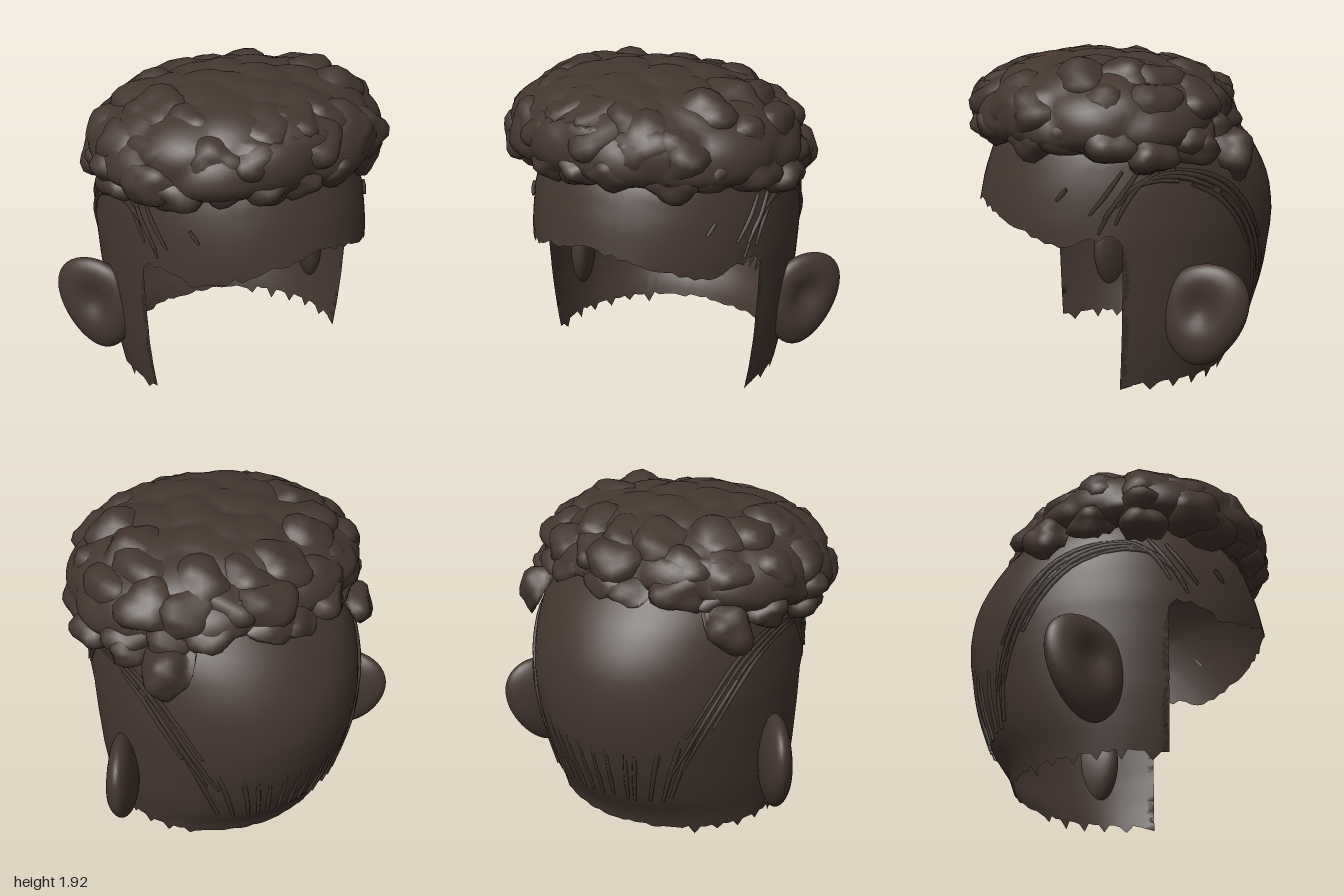
import * as THREE from 'three';
import { mergeVertices, mergeGeometries } from 'three/addons/utils/BufferGeometryUtils.js';

const material = new THREE.MeshStandardMaterial({ color: 0x44362f, side: THREE.DoubleSide });

let seed = 7;
const rand = () => {
  seed = (seed * 16807) % 2147483647;
  return seed / 2147483647;
};
const vary = (r) => (rand() * 2 - 1) * r;

// Piecewise linear lookup in [key, value] pairs
function lookup(table, k) {
  if (k <= table[0][0]) return table[0][1];
  for (let i = 1; i < table.length; i++) {
    const [k0, v0] = table[i - 1], [k1, v1] = table[i];
    if (k <= k1) return v0 + (v1 - v0) * (k - k0) / (k1 - k0);
  }
  return table[table.length - 1][1];
}

// Head cross-section at each height: half width, back depth, front depth
const WIDTH = [[0, .7], [.2, .735], [.4, .76], [.7, .78], [.95, .79], [1.2, .775], [1.4, .735], [1.6, .62], [1.72, .46], [1.8, .2], [1.82, 0]];
const BACK = [[0, .62], [.15, .67], [.3, .77], [.5, .85], [.7, .905], [.85, .93], [.97, .937], [1.1, .92], [1.2, .89], [1.3, .84], [1.4, .775], [1.6, .6], [1.72, .42], [1.8, .18], [1.82, 0]];
const FRONT = [[0, .85], [1, .88], [1.2, .84], [1.4, .77], [1.6, .62], [1.72, .46], [1.8, .2], [1.82, 0]];

// Forehead rim by angle from the front in degrees, and depth of the torn cheek edge by height
const BROW = [[0, 1.07], [20, 1.0], [42, .91], [52, .88], [64, .93], [72, .95], [180, .95]];
const CHEEK = [[0, .2], [.06, .14], [.1, .19], [.14, .15], [.2, .2], [.26, .16], [.42, .15], [.51, .23], [.6, .12], [.66, .16], [.8, .2], [.95, .24]];

const depth = (z, y) => lookup(z > 0 ? FRONT : BACK, y);
const sidePoint = (s, z, y, off) => new THREE.Vector3(
  s * (lookup(WIDTH, y) * Math.sqrt(Math.max(0, 1 - (z / depth(z, y)) ** 2)) + off), y, z);
const backPoint = (x, y, off) => new THREE.Vector3(
  x, y, -lookup(BACK, y) * Math.sqrt(Math.max(0, 1 - (x / lookup(WIDTH, y)) ** 2)) - off);

// Quad grid from a rule giving the point at column i, row j
function grid(cols, rows, rule) {
  const pos = [], idx = [];
  for (let i = 0; i <= cols; i++) for (let j = 0; j <= rows; j++) pos.push(...rule(i, j / rows));
  for (let i = 0; i < cols; i++) for (let j = 0; j < rows; j++) {
    const a = i * (rows + 1) + j, b = a + rows + 1;
    idx.push(a, b, b + 1, a, b + 1, a + 1);
  }
  const g = new THREE.BufferGeometry();
  g.setAttribute('position', new THREE.Float32BufferAttribute(pos, 3));
  g.setIndex(idx);
  return g;
}

// Open shell: a full cap above brow height and a band around the sides and back
function headShell() {
  const ring = (deg, y) => {
    const phi = deg * Math.PI / 180, c = Math.cos(phi);
    return [Math.sin(phi) * lookup(WIDTH, y), y, c * depth(c, y)];
  };
  const jag = Array.from({ length: 121 }, () => vary(.02));
  const cap = grid(120, 16, (i, t) => {
    const turn = Math.abs(i * 3 - 180);
    const y0 = lookup(BROW, turn) + (turn < 72 ? jag[i] : 0);
    return ring(i * 3 - 180, y0 + (1.82 - y0) * (1 - (1 - t) ** 1.5));
  });
  const band = grid(72, 18, (i, t) => {
    const deg = 72 + i * 3, side = Math.min(i, 72 - i);
    // occasional long teeth on the lower rim
    const y0 = .065 + jag[i] * .6 - (side > 0 && side < 24 && i % 4 === 1 ? .045 : 0);
    const y = y0 + (.95 - y0) * t;
    if (side > 0 || t === 1) return ring(deg, y);
    return sidePoint(i ? -1 : 1, lookup(CHEEK, y), y, 0).toArray();
  });
  const g = mergeVertices(mergeGeometries([cap, band]), 1e-4);
  g.computeVertexNormals();
  return g;
}

function smoothBall(detail) {
  const g = new THREE.IcosahedronGeometry(1, detail);
  g.deleteAttribute('uv');
  g.deleteAttribute('normal');
  return mergeVertices(g, 1e-4);
}

function reshape(g, rule) {
  const p = g.attributes.position, v = new THREE.Vector3();
  for (let i = 0; i < p.count; i++) {
    v.fromBufferAttribute(p, i);
    rule(v);
    p.setXYZ(i, v.x, v.y, v.z);
  }
  g.computeVertexNormals();
  return g;
}

// Lift a hair point out of the skull so the inside of the shell stays clear
function clearSkull(v) {
  while (v.y < 1.83 && Math.hypot(v.x / lookup(WIDTH, v.y), v.z / depth(v.z, v.y)) < 1.03) v.y += .01;
}

// Point on the flat-topped hair dome in a given direction
const CENTRE = new THREE.Vector3(-.03, 1.5, .1);
function domePoint(d, grow = 1) {
  const n = 2.25 + .25 * d.z;
  const h = Math.hypot(d.x / .88, d.z / (d.z > 0 ? .79 : .74));
  const k = Math.pow(h ** n + Math.abs(d.y / (d.y > 0 ? .42 : .17)) ** n, -1 / n) * grow;
  const p = d.clone().multiplyScalar(k).add(CENTRE);
  if (d.y < .3) p.y += Math.max(0, -.3 - p.z) * .2 + Math.max(0, p.z - .5) * .1;
  return p;
}

// Main mass of hair, swollen into broad soft cells
function hairDome() {
  const cells = [], count = 64;
  for (let i = 0; i < count; i++) {
    const y = 1 - 2 * (i + .5) / count, r = Math.sqrt(1 - y * y), a = i * 2.39996;
    cells.push(new THREE.Vector3(Math.cos(a) * r + vary(.1), y + vary(.06), Math.sin(a) * r + vary(.1)));
  }
  return reshape(smoothBall(22), (v) => {
    let near = 9;
    for (const c of cells) near = Math.min(near, c.distanceTo(v));
    v.copy(domePoint(v, .95 + .085 * Math.max(0, 1 - (near / .36) ** 2)));
    clearSkull(v);
  });
}

// A broad knobbly curl of hair
function curl(at, r, squash = .75) {
  const a = rand() * 6, b = rand() * 6;
  return reshape(smoothBall(3), (v) => {
    const k = 1 + .13 * Math.sin(v.x * 4 + a) * Math.sin(v.y * 4 + b) + .08 * Math.sin(v.z * 5 + a);
    v.multiplyScalar(r * k);
    v.y *= squash;
    v.add(at);
    clearSkull(v);
  });
}

function hairCurls() {
  const parts = [];
  // rings of curls: count, upward slope, size, position along the dome radius
  for (const [count, slope, size, grow] of [[19, -.03, .17, .84], [16, .18, .2, .81], [13, .45, .2, .78]]) {
    for (let i = 0; i < count; i++) {
      const a = (i + vary(.3)) * Math.PI * 2 / count;
      const d = new THREE.Vector3(Math.sin(a), slope + vary(.04), Math.cos(a)).normalize();
      parts.push(curl(domePoint(d, grow + vary(.025)), size + vary(.025)));
    }
  }
  // lower curls above each ear
  for (const s of [-1, 1]) {
    parts.push(curl(new THREE.Vector3(s * .61, 1.36, -.45), .15, 1));
    parts.push(curl(new THREE.Vector3(s * .7, 1.42, -.2), .15));
    parts.push(curl(new THREE.Vector3(s * .78, 1.41, .08), .15));
  }
  return mergeGeometries(parts);
}

// Thin tapered strand through a few points
function strand(points, r = .014) {
  const segs = 10, sides = 4;
  const curve = new THREE.CatmullRomCurve3(points);
  const g = new THREE.TubeGeometry(curve, segs, r, sides);
  const p = g.attributes.position, v = new THREE.Vector3();
  for (let i = 0; i < p.count; i++) {
    const t = Math.floor(i / (sides + 1)) / segs;
    const c = curve.getPointAt(t);
    v.fromBufferAttribute(p, i).sub(c).multiplyScalar(.35 + .65 * Math.sin(Math.PI * (.1 + .75 * t))).add(c);
    p.setXYZ(i, v.x, v.y, v.z);
  }
  return g;
}

// Strands sweeping over the ear, from temple to nape
function sideStrands(s) {
  const line = new THREE.SplineCurve([[.33, .98], [.22, 1.17], [.06, 1.27], [-.18, 1.25], [-.42, 1.12], [-.6, .86], [-.68, .6], [-.7, .36]]
    .map(([z, y]) => new THREE.Vector2(z, y)));
  const parts = [];
  for (let i = 0; i < 12; i++) {
    const t0 = (i % 7) * .1 + rand() * .05, t1 = Math.min(1, t0 + .26 + rand() * .1);
    const shift = (i % 4) * .03 - .03;
    parts.push(strand([0, .33, .67, 1].map((k) => {
      const p = line.getPoint(t0 + (t1 - t0) * k);
      return sidePoint(s, p.x - shift, p.y + shift * .6, .006);
    })));
  }
  // loose hairs at the temple
  for (const [z, y, len] of [[.4, 1.07, .24], [.33, 1.05, .28], [.56, 1.14, .07]])
    parts.push(strand([0, .5, 1].map((k) => sidePoint(s, z - .15 * k * len / .2, y + len * k, .01))));
  return mergeGeometries(parts);
}

// Strands fanning down the inside of the back, tips poking out at the nape
function napeStrands() {
  const parts = [];
  for (let i = 0; i < 13; i++) {
    const x = (i - 6) * .068 + vary(.02), low = .31 + Math.abs(x) * .06 + vary(.015);
    parts.push(strand([0, .3, .65, 1].map((k) =>
      backPoint(x * (1 + .6 * k), low + (.74 + vary(.02)) * k, .008 - .03 * Math.min(1, k * 1.6))), .02));
  }
  return mergeGeometries(parts);
}

// Thick ear with a hollow outer face, front sunk into the head, flaring out toward the back
function ear() {
  const g = reshape(smoothBall(8), (v) => {
    const r2 = (v.y - .15) ** 2 + (v.z - .05) ** 2;
    const hollow = v.x > 0 ? .7 * Math.exp(-r2 * 6) : 0;
    v.set((v.x - hollow) * .1, v.y * .3, v.z * .25 * (1 + .2 * v.y) - .035 * v.y);
  });
  return g.rotateY(-.6).translate(.832, .485, -.225);
}

export function createModel() {
  const model = new THREE.Group();
  const add = (name, geometry) => {
    const mesh = new THREE.Mesh(geometry, material);
    mesh.name = name;
    model.add(mesh);
    return mesh;
  };
  add('headShell', headShell());
  add('hairDome', hairDome());
  add('hairCurls', hairCurls());
  add('napeStrands', napeStrands());
  for (const [s, name] of [[1, 'left'], [-1, 'right']]) {
    add(name + 'Ear', ear()).scale.x = s;
    add(name + 'Strands', sideStrands(s));
  }
  return model;
}
